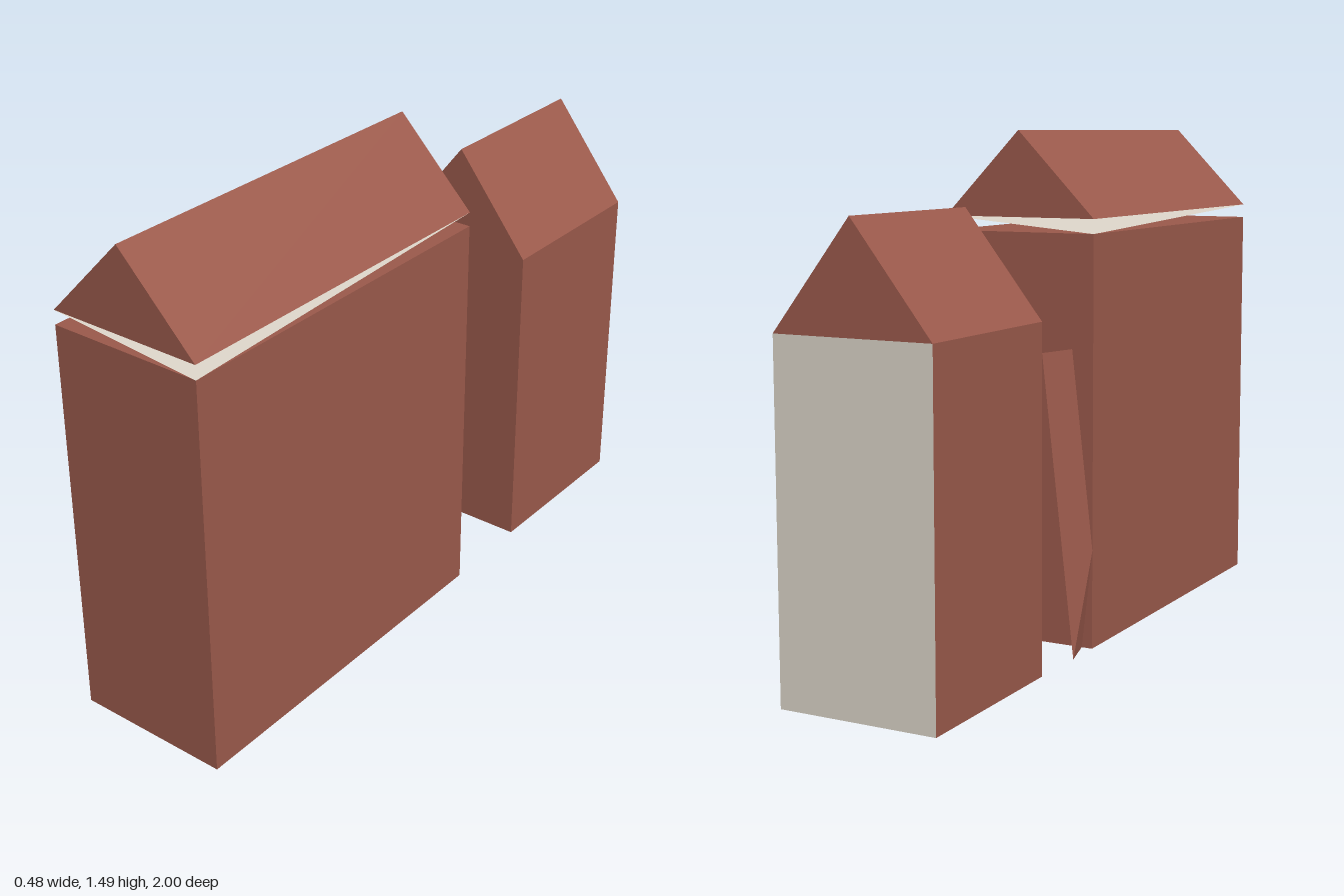
import * as THREE from 'three';

const brick = new THREE.MeshStandardMaterial({ color: 0x9c5a4c });
brick.name = 'brick';
const plaster = new THREE.MeshStandardMaterial({ color: 0xdcd5c9 });
plaster.name = 'pale plaster';

function add(group, name, geometry, material) {
  const mesh = new THREE.Mesh(geometry, material);
  mesh.name = name;
  group.add(mesh);
  return mesh;
}

// Rectangular block standing on the ground
function block(group, name, halfWidth, height, z0, z1, material) {
  const mesh = add(group, name, new THREE.BoxGeometry(halfWidth * 2, height, z1 - z0), material);
  mesh.position.set(0, height / 2, (z0 + z1) / 2);
}

// Gabled roof running along z
function gable(group, name, halfWidth, eaves, ridge, z0, z1) {
  const shape = new THREE.Shape([
    new THREE.Vector2(-halfWidth, eaves),
    new THREE.Vector2(halfWidth, eaves),
    new THREE.Vector2(0, ridge),
  ]);
  const geometry = new THREE.ExtrudeGeometry(shape, { depth: z1 - z0, bevelEnabled: false });
  add(group, name, geometry, brick).position.z = z0;
}

// Four-faced wedge joining alternate corners of a box; two upper faces, two lower faces
function wedge(group, name, [x0, y0, z0], [x1, y1, z1], upper, lower) {
  const a = [x1, y1, z0], b = [x0, y1, z1], c = [x1, y0, z1], d = [x0, y0, z0];
  const corners = [a, b, c, b, a, d, a, c, d, b, d, c].flat();
  const geometry = new THREE.BufferGeometry();
  geometry.setAttribute('position', new THREE.Float32BufferAttribute(corners, 3));
  geometry.addGroup(0, 6, 0);
  geometry.addGroup(6, 6, 1);
  geometry.computeVertexNormals();
  add(group, name, geometry, [upper, lower]);
}

export function createModel() {
  const model = new THREE.Group();
  model.name = 'buildings';

  // Tall building with a raised roof
  const tall = new THREE.Group();
  tall.name = 'tallBuilding';
  block(tall, 'tallWalls', 0.24, 1.198, -0.14, 1, brick);
  wedge(tall, 'roofSupport', [-0.24, 1.198, -0.14], [0.24, 1.24, 1], plaster, brick);
  gable(tall, 'tallRoof', 0.24, 1.24, 1.487, -0.14, 1);
  const soffit = add(tall, 'roofUnderside', new THREE.PlaneGeometry(0.48, 1.14), plaster);
  soffit.rotation.x = Math.PI / 2;
  soffit.position.set(0, 1.239, 0.43);

  // Twisted buttress on the rear corner
  wedge(tall, 'buttress', [-0.24, 0, -0.26], [-0.14, 0.87, 0.1], brick, brick);

  // Small building with a plastered back wall
  const small = new THREE.Group();
  small.name = 'smallBuilding';
  block(small, 'smallWalls', 0.235, 0.98, -1, -0.44, [brick, brick, brick, brick, brick, plaster]);
  gable(small, 'smallRoof', 0.235, 0.98, 1.28, -1, -0.44);

  model.add(tall, small);
  return model;
}
